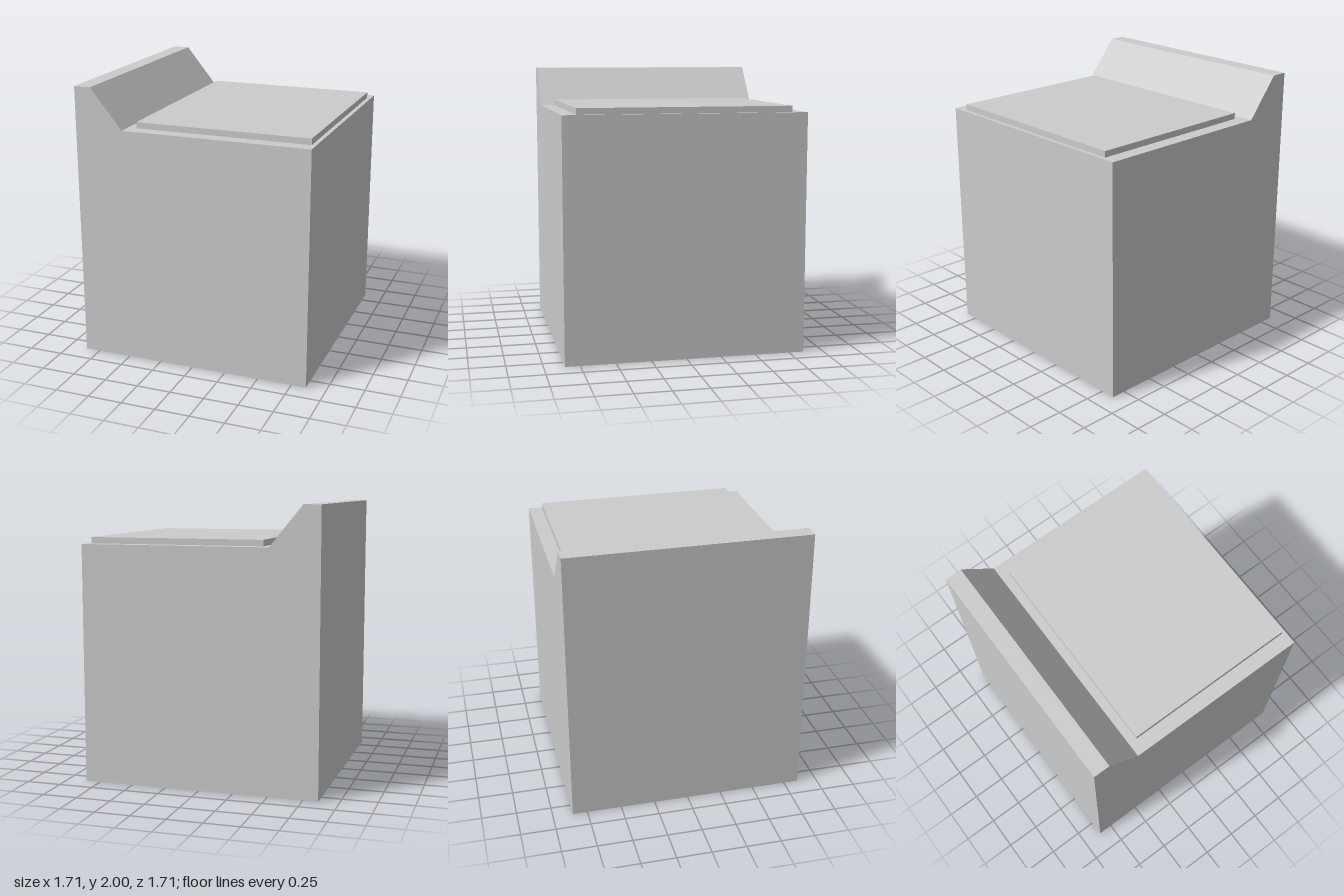
import * as THREE from 'three';

export function createModel() {
  const group = new THREE.Group();
  const material = new THREE.MeshStandardMaterial({ color: 0xcccccc, flatShading: true });
  const half = 0.857, deck = 1.714;

  // Cabinet with raised sloping console along its right side
  const profile = new THREE.Shape([
    [-half, 0], [half, 0], [half, deck], [-0.502, deck], [-0.735, 2], [-half, 2],
  ].map(([x, y]) => new THREE.Vector2(x, y)));
  const cabinet = new THREE.Mesh(
    new THREE.ExtrudeGeometry(profile, { depth: 2 * half, bevelEnabled: false }), material);
  cabinet.name = 'cabinet';
  cabinet.position.z = -half;
  group.add(cabinet);

  // Flat lid resting on the deck
  const lid = new THREE.Mesh(new THREE.BoxGeometry(1.265, 0.044, 1.51), material);
  lid.name = 'lid';
  lid.position.set(0.194, deck + 0.022, 0);
  group.add(lid);

  return group;
}
